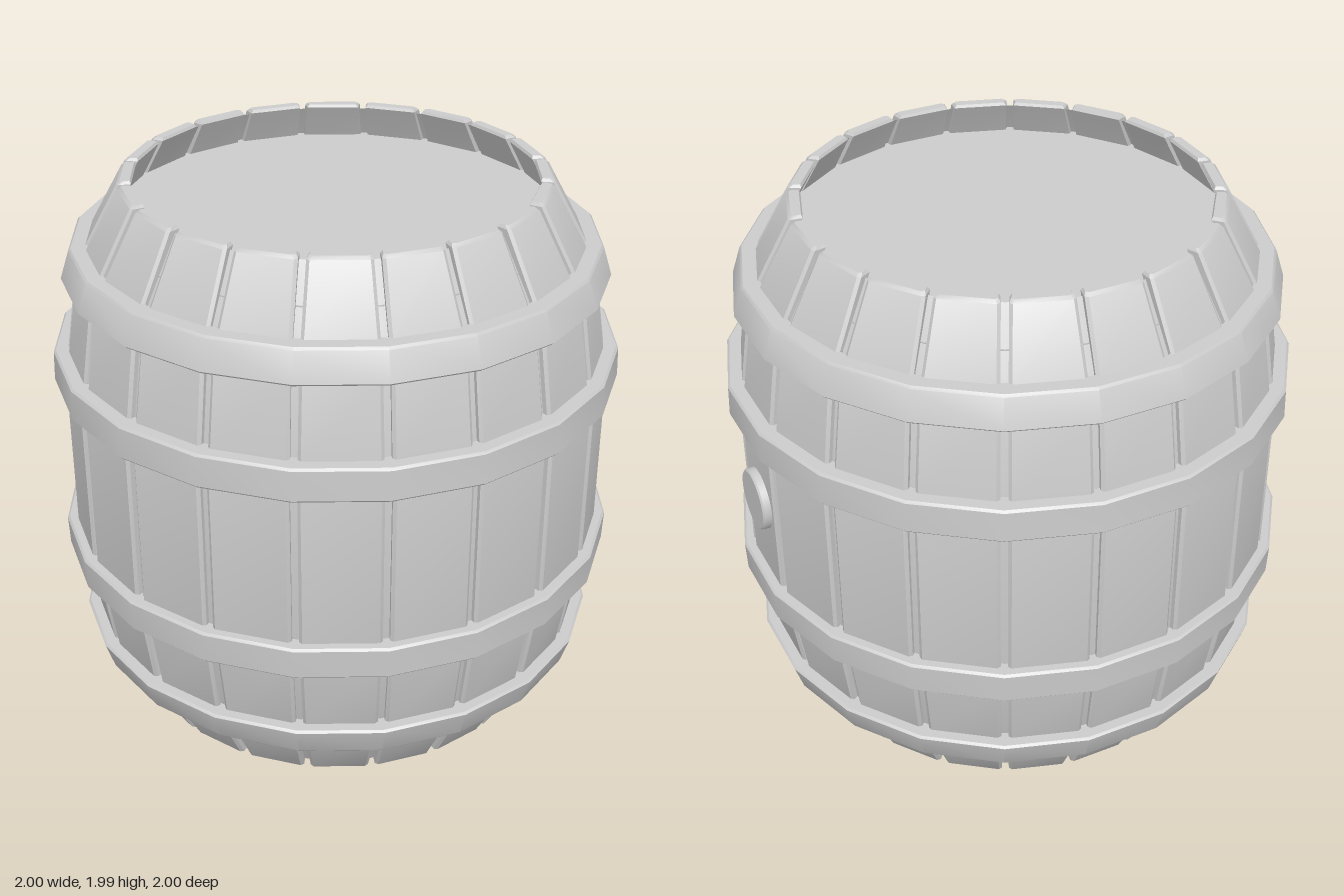
import * as THREE from 'three';
import { toCreasedNormals } from 'three/addons/utils/BufferGeometryUtils.js';

const SIDES = 20, HALF = Math.PI / SIDES, HEIGHT = 1.99;
const GAP = 0.014, THICK = 0.05, BEVEL = 0.01;

// Barrel bulge: [height, corner radius], lower half mirrored to the upper
const lower = [[0, 0.74], [0.22, 0.862], [0.335, 0.907], [0.595, 0.947], [0.715, 0.965]];
const bulge = [...lower, ...lower.map(([y, r]) => [HEIGHT - y, r]).reverse()];

const material = new THREE.MeshStandardMaterial({ color: 0xcccccc });
const doubleMaterial = new THREE.MeshStandardMaterial({ color: 0xcccccc, side: THREE.DoubleSide });

function addMesh(parent, name, geometry, mat = material) {
  const mesh = new THREE.Mesh(geometry, mat);
  mesh.name = name;
  parent.add(mesh);
  return mesh;
}

// One plank facing +z, lofted through bevelled cross-sections
function staveGeometry() {
  const rings = bulge.map(([y, r]) => [y, r, 0]);
  const last = rings.length - 1;
  rings[0] = [BEVEL, 0.745, 0];
  rings[last] = [HEIGHT - BEVEL, 0.745, 0];
  rings.unshift([0, 0.742, 0.008]);
  rings.push([HEIGHT, 0.742, 0.008]);

  const positions = [], index = [], n = 6;
  for (const [y, r, inset] of rings) {
    const outer = r * Math.cos(HALF) - inset;
    const inner = r * Math.cos(HALF) - THICK + inset;
    const w = r * Math.sin(HALF) - GAP - inset;
    const wi = inner * Math.tan(HALF) - GAP - inset;
    const section = [[wi, inner], [-wi, inner], [-w, outer - BEVEL],
      [-w + BEVEL, outer], [w - BEVEL, outer], [w, outer - BEVEL]];
    for (const [x, z] of section) positions.push(x, y, z);
  }
  for (let k = 0; k < rings.length - 1; k++) {
    for (let i = 0; i < n; i++) {
      const a = k * n + i, b = k * n + (i + 1) % n;
      index.push(a, b, b + n, a, b + n, a + n);
    }
  }
  const top = (rings.length - 1) * n;
  for (let i = 1; i < n - 1; i++) {
    index.push(0, i + 1, i, top, top + i, top + i + 1);
  }
  const geometry = new THREE.BufferGeometry();
  geometry.setAttribute('position', new THREE.Float32BufferAttribute(positions, 3));
  geometry.setIndex(index);
  return toCreasedNormals(geometry, 0.5);
}

// Band with a slightly bevelled rectangular section
function hoopGeometry(y0, y1, r0, r1, inner) {
  const b = 0.008;
  const points = [[inner, y0], [r0 - b, y0], [r0, y0 + b], [r1, y1 - b], [r1 - b, y1], [inner, y1], [inner, y0]]
    .map(([r, y]) => new THREE.Vector2(r, y));
  return toCreasedNormals(new THREE.LatheGeometry(points, SIDES), 0.5);
}

export function createModel() {
  const barrel = new THREE.Group();
  barrel.name = 'barrel';

  // Staves
  const staves = new THREE.Group();
  staves.name = 'staves';
  barrel.add(staves);
  const stave = staveGeometry();
  for (let i = 0; i < SIDES; i++) {
    addMesh(staves, 'stave', stave).rotation.y = (2 * i + 1) * HALF;
  }

  // Thin shell closing the gaps between the staves
  const shellPoints = bulge.map(([y, r]) =>
    new THREE.Vector2(r - 0.026, THREE.MathUtils.clamp(y, 0.02, HEIGHT - 0.02)));
  addMesh(barrel, 'innerShell', toCreasedNormals(new THREE.LatheGeometry(shellPoints, SIDES), 0.5), doubleMaterial);

  // Recessed heads
  for (const [name, y] of [['topHead', HEIGHT - 0.165], ['bottomHead', 0.165]]) {
    addMesh(barrel, name, new THREE.CylinderGeometry(0.79, 0.79, 0.05, SIDES)).position.y = y;
  }

  // Hoops, mirrored top and bottom
  const hoops = [
    ['endHoop', 0.22, 0.335, 0.918, 0.95, 0.85],
    ['middleHoop', 0.595, 0.715, 0.996, 1.0, 0.92],
  ];
  for (const [name, y0, y1, r0, r1, inner] of hoops) {
    addMesh(barrel, name, hoopGeometry(y0, y1, r0, r1, inner));
    addMesh(barrel, name, hoopGeometry(HEIGHT - y1, HEIGHT - y0, r1, r0, inner));
  }

  // Bung, square to the stave beside the +x axis
  const bungProfile = [[0, -0.05], [0.11, -0.05], [0.11, -0.006], [0.104, 0], [0, 0]]
    .map(([r, y]) => new THREE.Vector2(r, y));
  const bungGeometry = toCreasedNormals(new THREE.LatheGeometry(bungProfile, 32), 0.5);
  bungGeometry.rotateX(Math.PI / 2);
  const bung = addMesh(barrel, 'bung', bungGeometry);
  const angle = Math.PI / 2 - HALF;
  bung.position.set(Math.sin(angle) * 0.984, 1.017, Math.cos(angle) * 0.984);
  bung.rotation.y = angle;

  return barrel;
}
